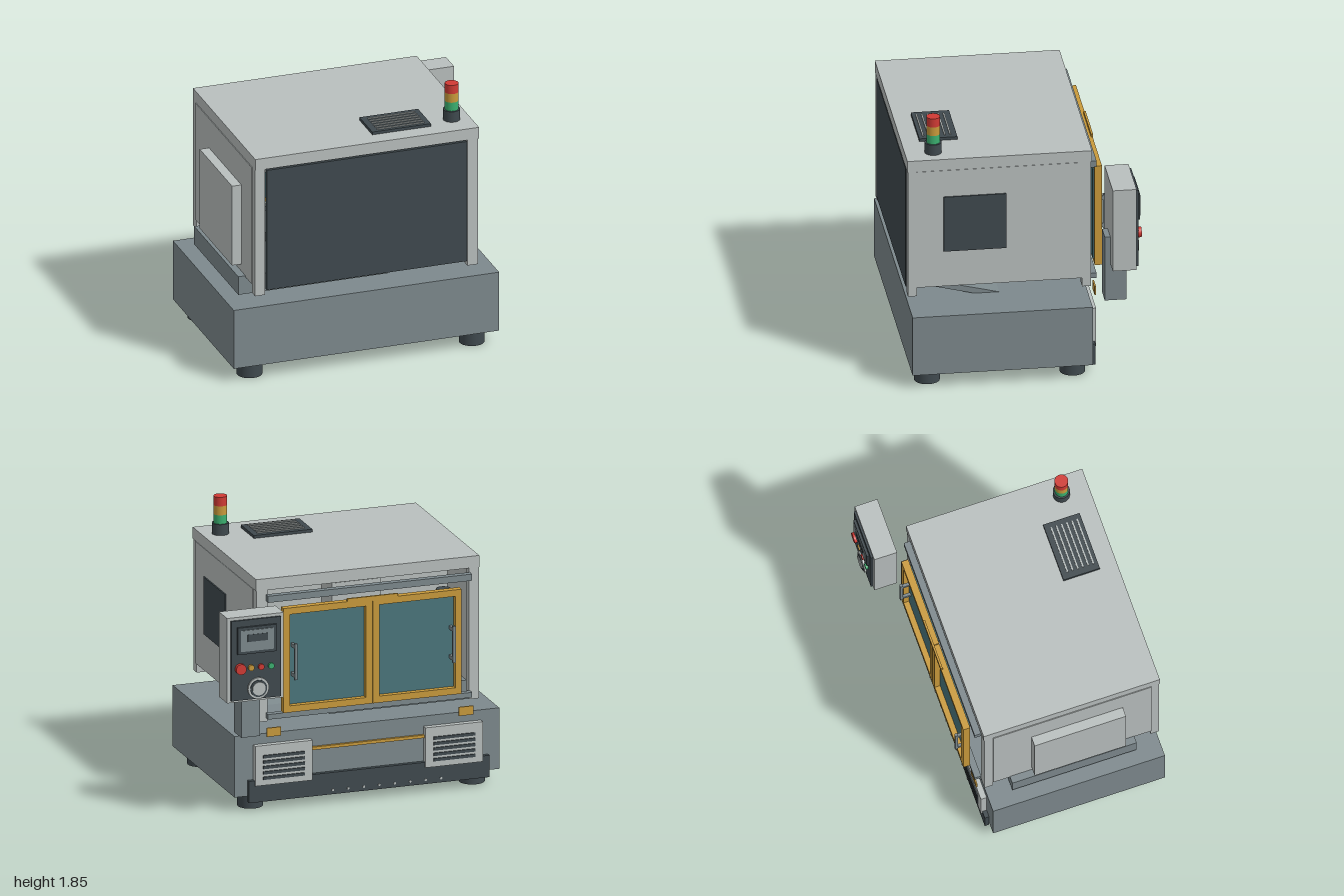
import * as THREE from 'three';

const mat = (name, color) => {
  const m = new THREE.MeshStandardMaterial({ color });
  m.name = name;
  return m;
};

export function createModel() {
  const root = new THREE.Group();
  root.name = 'enclosedMachine';
  const light = mat('light grey', 0xb9bfbe);
  const slate = mat('slate grey', 0x7d898d);
  const dark = mat('charcoal', 0x3f494e);
  const gold = mat('amber', 0xc99a3b);
  const teal = mat('teal glass', 0x4a757b);
  const red = mat('red', 0xd03a34);
  const green = mat('green', 0x3bb070);

  const add = (name, geo, m, x, y, z) => {
    const mesh = new THREE.Mesh(geo, m);
    mesh.name = name;
    mesh.position.set(x, y, z);
    root.add(mesh);
    return mesh;
  };
  // Box given by its extents on each axis
  const box = (name, m, x0, x1, y0, y1, z0, z1) =>
    add(name, new THREE.BoxGeometry(x1 - x0, y1 - y0, z1 - z0), m, (x0 + x1) / 2, (y0 + y1) / 2, (z0 + z1) / 2);
  const cyl = (name, m, r, h, x, y, z) => add(name, new THREE.CylinderGeometry(r, r, h, 32), m, x, y, z);
  // Round control facing -z
  const dial = (name, m, r, x, y, z0, z1) => {
    cyl(name, m, r, z1 - z0, x, y, (z0 + z1) / 2).rotation.x = Math.PI / 2;
  };

  // Base and feet
  box('base', slate, -1, 0.85, 0.1, 0.52, -0.45, 0.745);
  for (const x of [-0.85, 0.7]) for (const z of [-0.335, 0.63]) cyl('foot', dark, 0.085, 0.1, x, 0.05, z);

  // Kick plate with a row of studs
  box('kickPlate', dark, -0.92, 0.76, 0.06, 0.21, -0.48, -0.45);
  for (let i = 0; i < 8; i++) dial('stud', light, 0.008, 0.175 - i * 0.108, 0.09, -0.486, -0.48);
  box('baseStripe', gold, -0.52, 0.37, 0.375, 0.395, -0.47, -0.45);

  // Louvred covers on the base
  for (const x of [-0.67, 0.52]) {
    box('ventCover', light, x - 0.2, x + 0.2, 0.175, 0.45, -0.49, -0.45);
    for (let i = 0; i < 5; i++) {
      const y = 0.225 + i * 0.037;
      box('ventSlot', dark, x - 0.145, x + 0.145, y - 0.01, y + 0.01, -0.498, -0.49);
    }
  }
  for (const x of [-0.75, 0.593]) box('doorStop', gold, x - 0.05, x + 0.05, 0.51, 0.57, -0.5, -0.49);

  // Cabinet shell
  box('roof', light, -0.855, 0.705, 1.51, 1.59, -0.465, 0.76);
  for (const [x0, x1] of [[-0.855, -0.785], [0.625, 0.7]]) {
    box('cornerPost', light, x0, x1, 0.605, 1.515, 0.695, 0.755);
    box('cornerPost', light, x0, x1, 0.605, 1.515, -0.46, -0.4);
  }
  box('sideWall', light, -0.86, -0.83, 0.67, 1.51, -0.4, 0.7);
  box('sideWall', light, 0.675, 0.708, 0.67, 1.51, -0.4, 0.7);
  box('rearPanel', dark, -0.775, 0.62, 0.64, 1.5, 0.735, 0.76);
  box('sideWindow', dark, 0.708, 0.717, 0.925, 1.32, 0.105, 0.52);
  box('sideHatch', light, -0.925, -0.86, 0.73, 1.3, -0.135, 0.5);

  // Trough and sloping chute under the cabinet
  box('trough', slate, -0.91, 0.13, 0.55, 0.68, -0.285, 0.58);
  const chute = box('chute', slate, -0.55, 0.53, 0.535, 0.575, 0.1, 0.6);
  chute.rotation.x = -0.245;

  // Interior gantry, spindle and table
  box('gantryBeam', light, -0.8, 0.65, 1.2, 1.36, 0, 0.15);
  box('spindleHead', light, -0.26, 0.08, 0.98, 1.42, -0.2, 0);
  cyl('spindle', dark, 0.06, 0.2, -0.09, 0.88, -0.1);
  box('workTable', slate, -0.55, 0.4, 0.68, 0.74, -0.25, 0.4);
  cyl('interiorColumn', dark, 0.05, 0.5, -0.7, 1.05, -0.2);

  // Door rails
  box('upperRail', slate, -0.79, 0.635, 1.435, 1.48, -0.505, -0.46);
  box('lowerRail', slate, -0.79, 0.635, 0.63, 0.665, -0.505, -0.46);

  // Sliding doors: frame with a glazed opening and a handle
  const y0 = 0.68, y1 = 1.4, w = 0.045;
  for (const [x0, x1, hx] of [[-0.7, -0.08, -0.635], [-0.075, 0.545, 0.47]]) {
    box('doorStile', gold, x0, x0 + w, y0, y1, -0.553, -0.505);
    box('doorStile', gold, x1 - w, x1, y0, y1, -0.553, -0.505);
    box('doorCrossbar', gold, x0 + w, x1 - w, y0, y0 + w, -0.553, -0.505);
    box('doorCrossbar', gold, x0 + w, x1 - w, y1 - w, y1, -0.553, -0.505);
    box('doorGlass', teal, x0 + 0.03, x1 - 0.03, 0.715, 1.365, -0.515, -0.495);
    box('doorHandle', slate, hx - 0.01, hx + 0.01, 0.91, 1.16, -0.59, -0.57);
    for (const y of [0.935, 1.135]) box('handleMount', slate, hx - 0.01, hx + 0.01, y - 0.012, y + 0.012, -0.57, -0.515);
  }
  box('doorLatch', gold, -0.255, 0.1, 1.385, 1.42, -0.556, -0.542);

  // Control box on its arm
  box('controlArm', slate, 0.753, 0.883, 0.58, 1.04, -0.67, -0.525);
  box('controlBox', light, 0.605, 1, 0.845, 1.43, -0.72, -0.562);
  box('controlPanel', dark, 0.63, 0.975, 0.86, 1.41, -0.735, -0.72);
  box('screenBezel', dark, 0.665, 0.935, 1.18, 1.365, -0.752, -0.735);
  box('screen', slate, 0.685, 0.915, 1.2, 1.345, -0.757, -0.752);
  box('screenReadout', dark, 0.73, 0.87, 1.265, 1.315, -0.759, -0.757);
  dial('stopButton', red, 0.036, 0.915, 1.08, -0.762, -0.735);
  [[0.84, gold], [0.77, red], [0.7, green]].forEach(([x, m]) => dial('button', m, 0.02, x, 1.08, -0.752, -0.735));
  dial('knobRing', light, 0.073, 0.79, 0.935, -0.748, -0.735);
  dial('knobFace', dark, 0.058, 0.79, 0.935, -0.754, -0.748);
  dial('knobCap', light, 0.045, 0.79, 0.935, -0.76, -0.754);

  // Roof grille
  box('roofGrille', dark, 0.003, 0.412, 1.59, 1.61, 0.387, 0.64);
  for (let i = 0; i < 6; i++) {
    const z = 0.43 + i * 0.036;
    box('grilleSlat', light, 0.045, 0.375, 1.61, 1.617, z - 0.005, z + 0.005);
  }

  // Signal lamp
  cyl('lampBase', dark, 0.056, 0.075, 0.58, 1.6275, 0.572);
  [green, gold, red].forEach((m, i) => cyl('lampSegment', m, 0.045, 0.062, 0.58, 1.695 + i * 0.062, 0.572));

  return root;
}
